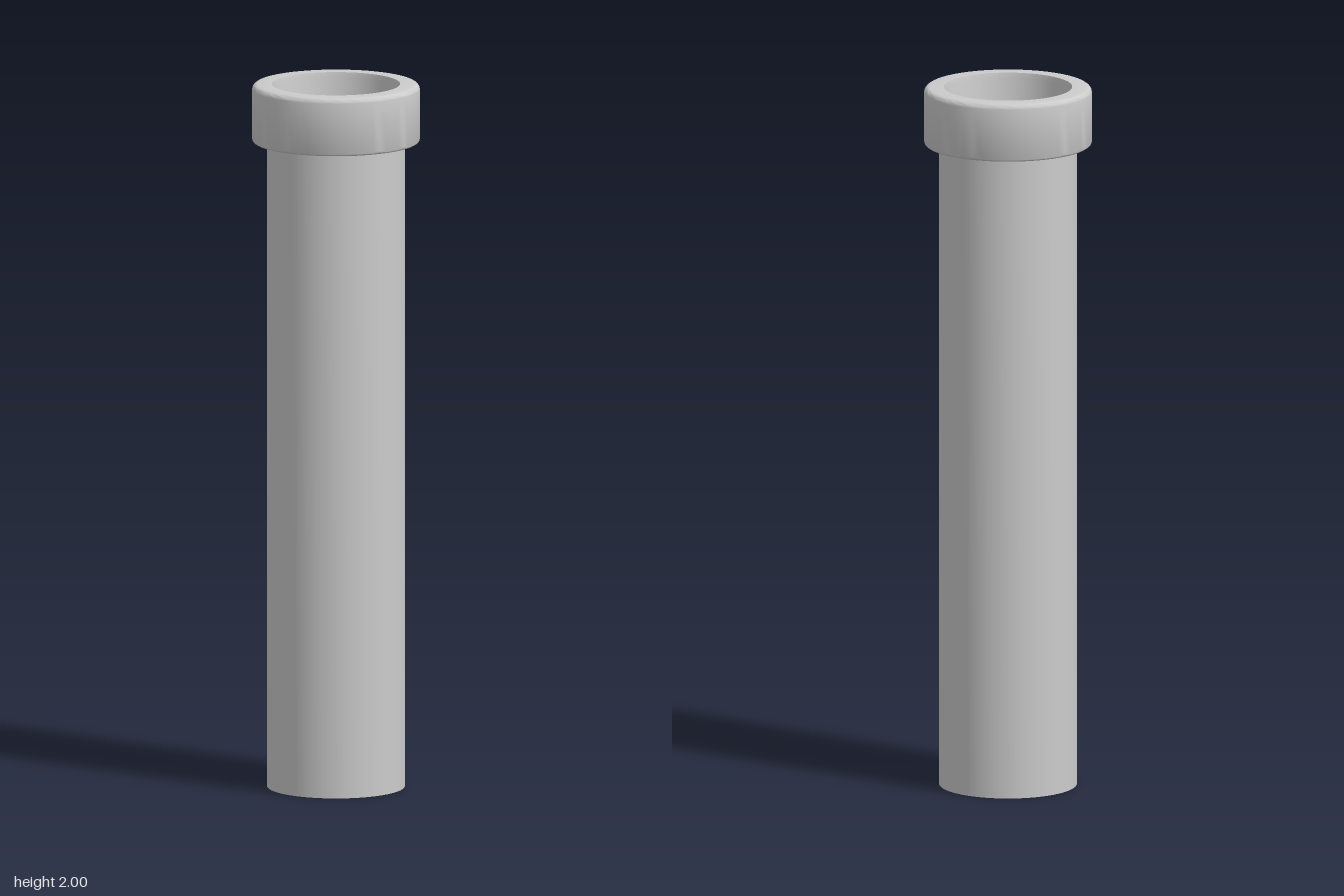
import * as THREE from 'three';
import { toCreasedNormals } from 'three/addons/utils/BufferGeometryUtils.js';

const SEGMENTS = 64;

// Quarter-round points around (cx, cy), from angle a to b in degrees
function arc(cx, cy, r, a, b, steps = 4) {
  return Array.from({ length: steps + 1 }, (_, i) => {
    const t = THREE.MathUtils.degToRad(a + ((b - a) * i) / steps);
    return [cx + r * Math.cos(t), cy + r * Math.sin(t)];
  });
}

function turned(name, profile, material) {
  const points = profile.map(([x, y]) => new THREE.Vector2(x, y));
  const lathe = new THREE.LatheGeometry(points, SEGMENTS);
  const mesh = new THREE.Mesh(toCreasedNormals(lathe, 0.7), material);
  mesh.name = name;
  return mesh;
}

export function createModel() {
  const group = new THREE.Group();
  group.name = 'collaredTube';
  const material = new THREE.MeshStandardMaterial({ color: 0xcccccc, side: THREE.DoubleSide });

  // Long straight shaft with a flat closed bottom
  group.add(turned('shaft', [[0, 0], [0.193, 0], [0.193, 1.85]], material));

  // Wider collar with softened outer edges and a shallow filleted cup in its top
  group.add(turned('collar', [
    [0.185, 1.835],
    ...arc(0.225, 1.845, 0.01, -90, 0),
    ...arc(0.22, 1.985, 0.015, 0, 90),
    [0.18, 2],
    [0.177, 1.985],
    ...arc(0.15, 1.925, 0.025, 0, -90),
    [0, 1.9],
  ], material));

  return group;
}
